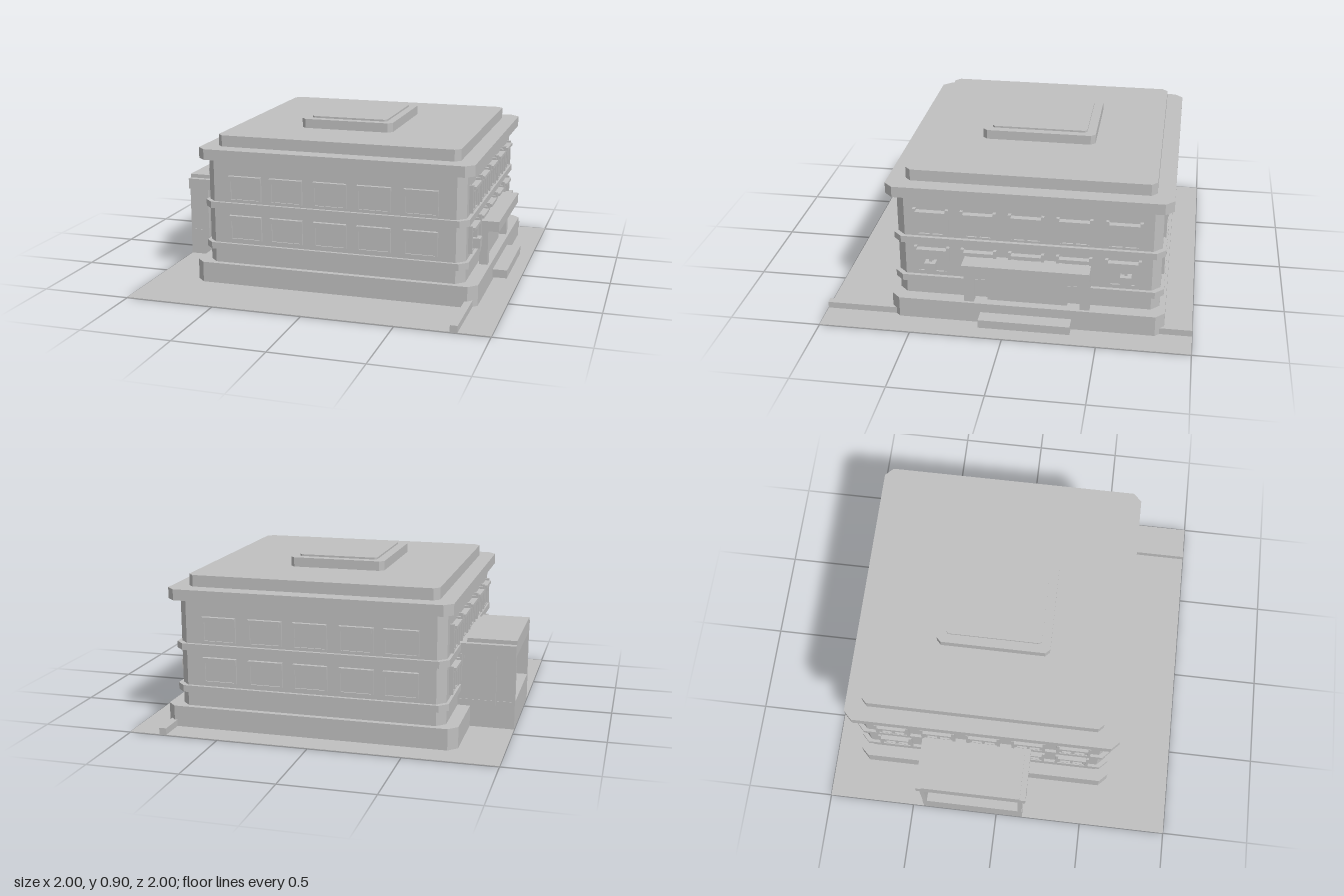
import * as THREE from 'three';

export function createModel() {
  const model = new THREE.Group();
  const stone = new THREE.MeshStandardMaterial({ color: 0xbfbfbf });
  stone.name = 'pale grey stone';

  function add(parent, name, geometry) {
    const mesh = new THREE.Mesh(geometry, stone);
    mesh.name = name;
    parent.add(mesh);
    return mesh;
  }

  // Box given by its limits on each axis
  function box(parent, name, x0, x1, y0, y1, z0, z1) {
    const g = new THREE.BoxGeometry(x1 - x0, y1 - y0, z1 - z0);
    g.translate((x0 + x1) / 2, (y0 + y1) / 2, (z0 + z1) / 2);
    return add(parent, name, g);
  }

  // Storey slab with bevelled vertical corners
  function slab(name, x0, x1, y0, y1, z0, z1, c) {
    const shape = new THREE.Shape([
      [x0 + c, -z1], [x1 - c, -z1], [x1, -z1 + c], [x1, -z0 - c],
      [x1 - c, -z0], [x0 + c, -z0], [x0, -z0 - c], [x0, -z1 + c],
    ].map(([x, y]) => new THREE.Vector2(x, y)));
    const g = new THREE.ExtrudeGeometry(shape, { depth: y1 - y0, bevelEnabled: false });
    g.rotateX(-Math.PI / 2);
    g.translate(0, y0, 0);
    add(model, name, g);
  }

  // Ground and kerb
  box(model, 'ground', -1, 1, 0, 0.004, -1, 1);
  box(model, 'kerb', 0.79, 0.83, 0, 0.04, -1, 1);

  // Main building, bottom to top
  slab('plinth', -0.757, 0.853, 0, 0.12, -0.85, 0.636, 0.048);
  slab('walls', -0.687, 0.778, 0.12, 0.72, -0.818, 0.604, 0.046);
  slab('lowerBand', -0.703, 0.798, 0.2, 0.237, -0.837, 0.622, 0.046);
  slab('upperBand', -0.703, 0.798, 0.435, 0.472, -0.837, 0.622, 0.046);
  slab('cornice', -0.725, 0.826, 0.715, 0.775, -0.868, 0.652, 0.046);
  slab('parapet', -0.639, 0.735, 0.775, 0.838, -0.775, 0.556, 0.03);
  slab('roofHousing', -0.26, 0.275, 0.838, 0.89, -0.41, 0.22, 0.025);
  slab('roofHousingLid', -0.21, 0.232, 0.89, 0.9, -0.36, 0.17, 0.012);

  // Plain window: jambs, hood, sill and pane, facing +z
  function plainWindow() {
    const w = new THREE.Group();
    w.name = 'plainWindow';
    for (const s of [-1, 1]) {
      const x = s * 0.088;
      box(w, 'jamb', x - 0.006, x + 0.006, 0, 0.138, -0.01, 0.014);
    }
    box(w, 'hood', -0.094, 0.094, 0.126, 0.138, -0.01, 0.022);
    box(w, 'blind', -0.082, 0.082, 0.108, 0.126, -0.01, 0.016);
    box(w, 'sill', -0.094, 0.094, 0, 0.006, -0.01, 0.014);
    box(w, 'pane', -0.082, 0.082, 0.006, 0.108, -0.01, 0.006);
    return w;
  }

  // Side window: taller stepped jambs and a double mullion
  function mullionWindow() {
    const w = new THREE.Group();
    w.name = 'mullionWindow';
    for (const s of [-1, 1]) {
      const x = s * 0.088, i = s * 0.072;
      box(w, 'jamb', x - 0.008, x + 0.008, 0, 0.153, -0.01, 0.022);
      box(w, 'innerJamb', i - 0.008, i + 0.008, 0, 0.138, -0.01, 0.015);
    }
    box(w, 'hood', -0.08, 0.08, 0.126, 0.142, -0.01, 0.034);
    box(w, 'blind', -0.064, 0.064, 0.108, 0.126, -0.01, 0.018);
    box(w, 'mullion', -0.008, 0.008, 0.006, 0.126, -0.01, 0.016);
    box(w, 'sill', -0.08, 0.08, 0, 0.006, -0.01, 0.016);
    box(w, 'pane', -0.064, 0.064, 0.006, 0.108, -0.01, 0.006);
    return w;
  }

  // Two rows of five windows on all four walls
  const frontX = [-0.455, -0.217, 0.035, 0.283, 0.542];
  const sideZ = [0.41, 0.155, -0.102, -0.358, -0.618];
  const place = (w, x, y, z, turn) => {
    w.position.set(x, y, z);
    w.rotation.y = turn;
    model.add(w);
  };
  for (const y of [0.262, 0.487]) {
    for (const x of frontX) {
      place(plainWindow(), x, y, 0.604, 0);
      place(plainWindow(), x, y, -0.818, Math.PI);
    }
    for (const z of sideZ) {
      place(mullionWindow(), 0.778, y, z, Math.PI / 2);
      place(mullionWindow(), -0.687, y, z, -Math.PI / 2);
    }
  }

  // Main entrance on the +x wall
  const entrance = new THREE.Group();
  entrance.name = 'entrance';
  model.add(entrance);
  box(entrance, 'step', 0.84, 0.935, 0.02, 0.067, -0.355, 0.14);
  box(entrance, 'canopy', 0.778, 0.897, 0.315, 0.373, -0.45, 0.23);
  box(entrance, 'door', 0.77, 0.805, 0.12, 0.295, -0.326, 0.107);
  box(entrance, 'doorHeader', 0.77, 0.8, 0.295, 0.316, -0.23, 0.01);
  for (const s of [-1, 1]) {
    const at = (d) => -0.11 + s * d;
    const pair = (name, x0, x1, y0, y1, a, b) => box(entrance, name, x0, x1, y0, y1,
      Math.min(at(a), at(b)), Math.max(at(a), at(b)));
    pair('column', 0.79, 0.837, 0.12, 0.316, 0.287, 0.34);
    pair('sideRail', 0.77, 0.8, 0.24, 0.295, 0.215, 0.287);
    // Wall lamp
    pair('lampStem', 0.778, 0.81, 0.33, 0.395, 0.518, 0.532);
    pair('lamp', 0.778, 0.832, 0.278, 0.333, 0.495, 0.555);
  }

  // Open porch on the -x wall
  const porch = new THREE.Group();
  porch.name = 'porch';
  model.add(porch);
  box(porch, 'porchBase', -1, -0.68, 0, 0.157, -0.435, 0.155);
  box(porch, 'porchBeam', -1, -0.68, 0.412, 0.475, -0.452, 0.172);
  box(porch, 'porchRoof', -1, -0.73, 0.475, 0.497, -0.42, 0.14);
  for (const s of [-1, 1]) {
    const z = -0.14 + s * 0.28;
    box(porch, 'porchWall', -1, -0.68, 0.155, 0.413, z - 0.012, z + 0.012);
    const p = -0.14 + s * 0.3;
    box(porch, 'porchPost', -0.897, -0.877, 0.12, 0.413, p - 0.01, p + 0.01);
  }
  return model;
}
